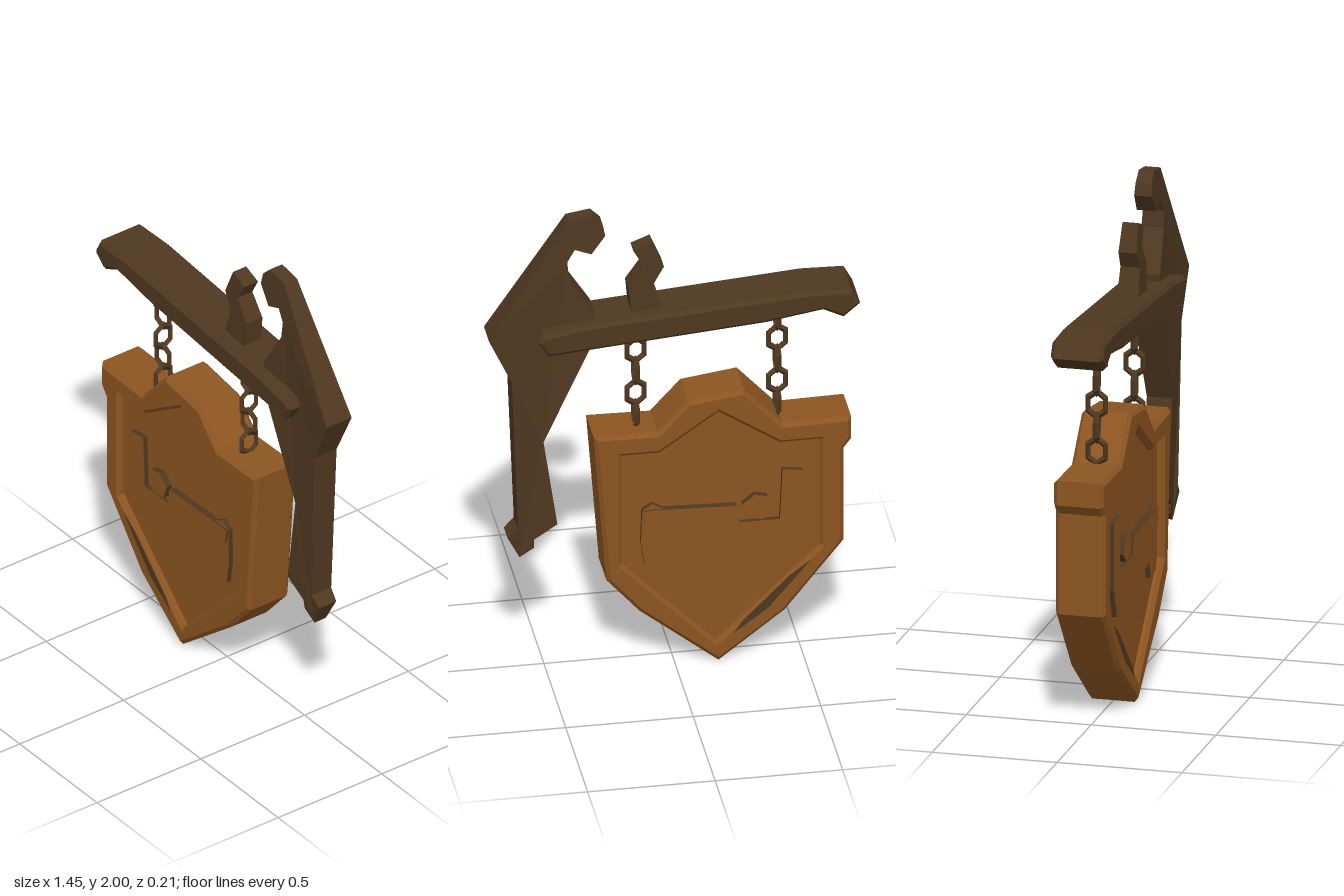
import * as THREE from 'three';

const wood = new THREE.MeshStandardMaterial({ color: 0x8c5521, flatShading: true });
wood.name = 'warm wood';
const dark = new THREE.MeshStandardMaterial({ color: 0x4f3820, flatShading: true });
dark.name = 'dark wood';

// Extrudes an outline symmetrically about z = 0, bevelled inside the outline
function slab(name, points, half, material, bevel = 0, hole = null) {
  const toVec = (p) => p.map(([x, y]) => new THREE.Vector2(x, y));
  const shape = new THREE.Shape(toVec(points));
  if (hole) shape.holes.push(new THREE.Path(toVec(hole)));
  const geo = new THREE.ExtrudeGeometry(shape, {
    depth: 2 * (half - bevel), bevelEnabled: bevel > 0, bevelThickness: bevel,
    bevelSize: bevel, bevelOffset: -bevel, bevelSegments: 1,
  });
  geo.translate(0, 0, bevel - half);
  const mesh = new THREE.Mesh(geo, material);
  mesh.name = name;
  return mesh;
}

// Scales the thickness by height, from [y, factor] stops
function taper(mesh, stops) {
  const pos = mesh.geometry.attributes.position;
  for (let i = 0; i < pos.count; i++) {
    const y = pos.getY(i);
    let k = 0;
    while (k < stops.length - 2 && y > stops[k + 1][0]) k++;
    const [y0, f0] = stops[k], [y1, f1] = stops[k + 1];
    const t = THREE.MathUtils.clamp((y - y0) / (y1 - y0), 0, 1);
    pos.setZ(i, pos.getZ(i) * THREE.MathUtils.lerp(f0, f1, t));
  }
  mesh.geometry.computeVertexNormals();
  return mesh;
}

// Chain of links turned alternately
function chain(name, x) {
  const group = new THREE.Group();
  group.name = name;
  const link = new THREE.TorusGeometry(0.04, 0.012, 4, 6);
  link.rotateZ(Math.PI / 6);
  link.scale(1, 1.3, 1);
  for (let i = 0; i < 5; i++) {
    const mesh = new THREE.Mesh(link, dark);
    mesh.name = 'chainLink';
    mesh.position.set(x, 1.465 - i * 0.095, 0);
    mesh.rotation.y = i % 2 ? 0.15 : Math.PI / 2;
    group.add(mesh);
  }
  return group;
}

export function createModel() {
  const model = new THREE.Group();
  model.name = 'hangingSign';

  // Wall post with hooked top and pointed back
  const post = slab('wallPost', [
    [0.315, 2], [0.275, 1.96], [0.265, 1.91], [0.32, 1.835], [0.385, 1.86], [0.415, 1.81],
    [0.41, 1.74], [0.31, 1.58], [0.33, 1.42], [0.51, 1.02], [0.455, 0.645], [0.545, 0.58],
    [0.545, 0.54], [0.6, 0.5], [0.65, 0.6], [0.61, 0.64], [0.635, 1.3], [0.725, 1.495], [0.41, 1.985],
  ], 0.06, dark);
  model.add(taper(post, [[0.5, 0.45], [0.65, 0.8], [1.3, 0.9], [1.5, 1], [1.75, 0.75], [2, 0.5]]));

  // Sloping beam
  model.add(slab('beam', [
    [-0.725, 1.545], [-0.66, 1.49], [-0.58, 1.53], [-0.36, 1.495], [0.5, 1.425],
    [0.54, 1.49], [0.52, 1.52], [0.34, 1.55], [-0.52, 1.615], [-0.69, 1.61],
  ], 0.105, dark, 0.015));

  // Crooked peg on the beam
  const peg = slab('beamPeg', [
    [0.03, 1.53], [0.16, 1.52], [0.175, 1.67], [0.115, 1.76],
    [0.155, 1.83], [0.08, 1.86], [0.035, 1.75], [0.075, 1.68],
  ], 0.045, dark);
  model.add(taper(peg, [[1.52, 1], [1.86, 0.7]]));

  model.add(chain('rightChain', -0.415), chain('leftChain', 0.14));

  // Shield board: raised frame around a recessed panel
  const outline = [
    [-0.69, 1.04], [-0.69, 0.94], [-0.66, 0.9], [-0.66, 0.49], [-0.43, 0.2], [-0.17, 0],
    [0.14, 0.25], [0.27, 0.4], [0.32, 1.045], [0.07, 1.04], [-0.05, 1.17], [-0.27, 1.2],
    [-0.37, 1.09], [-0.42, 1.035],
  ];
  const inner = [
    [-0.57, 0.95], [-0.57, 0.48], [-0.16, 0.09], [0.21, 0.47],
    [0.21, 0.95], [0.06, 0.95], [-0.17, 1.11], [-0.41, 0.95],
  ];
  model.add(slab('shieldFrame', outline, 0.1, wood, 0.015, inner));
  model.add(slab('shieldPanel', inner, 0.072, wood));

  // Carved emblem standing out on both faces
  model.add(slab('emblem', [
    [-0.5, 0.82], [-0.5, 0.55], [-0.455, 0.43], [0.02, 0.51], [0.04, 0.44], [0.12, 0.45],
    [0.135, 0.56], [0.13, 0.7], [0.09, 0.725], [0.03, 0.69], [-0.24, 0.69], [-0.25, 0.61],
    [-0.41, 0.61], [-0.42, 0.83],
  ], 0.092, [wood, dark]));
  model.add(slab('emblemBar', [
    [-0.25, 0.62], [0.05, 0.61], [0.12, 0.64], [0.13, 0.7], [0.06, 0.7], [-0.24, 0.69],
  ], 0.1, [wood, dark]));
  model.add(slab('emblemKnob', [
    [-0.38, 0.66], [-0.34, 0.62], [-0.28, 0.63], [-0.26, 0.69], [-0.31, 0.73], [-0.36, 0.72],
  ], 0.098, [wood, dark]));

  // Dark worn strips on the lower frame, front and back
  for (const side of [1, -1]) {
    const strip = slab('wornStrip', [
      [-0.53, 0.42], [-0.36, 0.22], [-0.23, 0.125], [-0.26, 0.17], [-0.37, 0.28], [-0.45, 0.36],
    ], 0.002, dark);
    strip.position.z = side * 0.1;
    model.add(strip);
  }
  return model;
}
